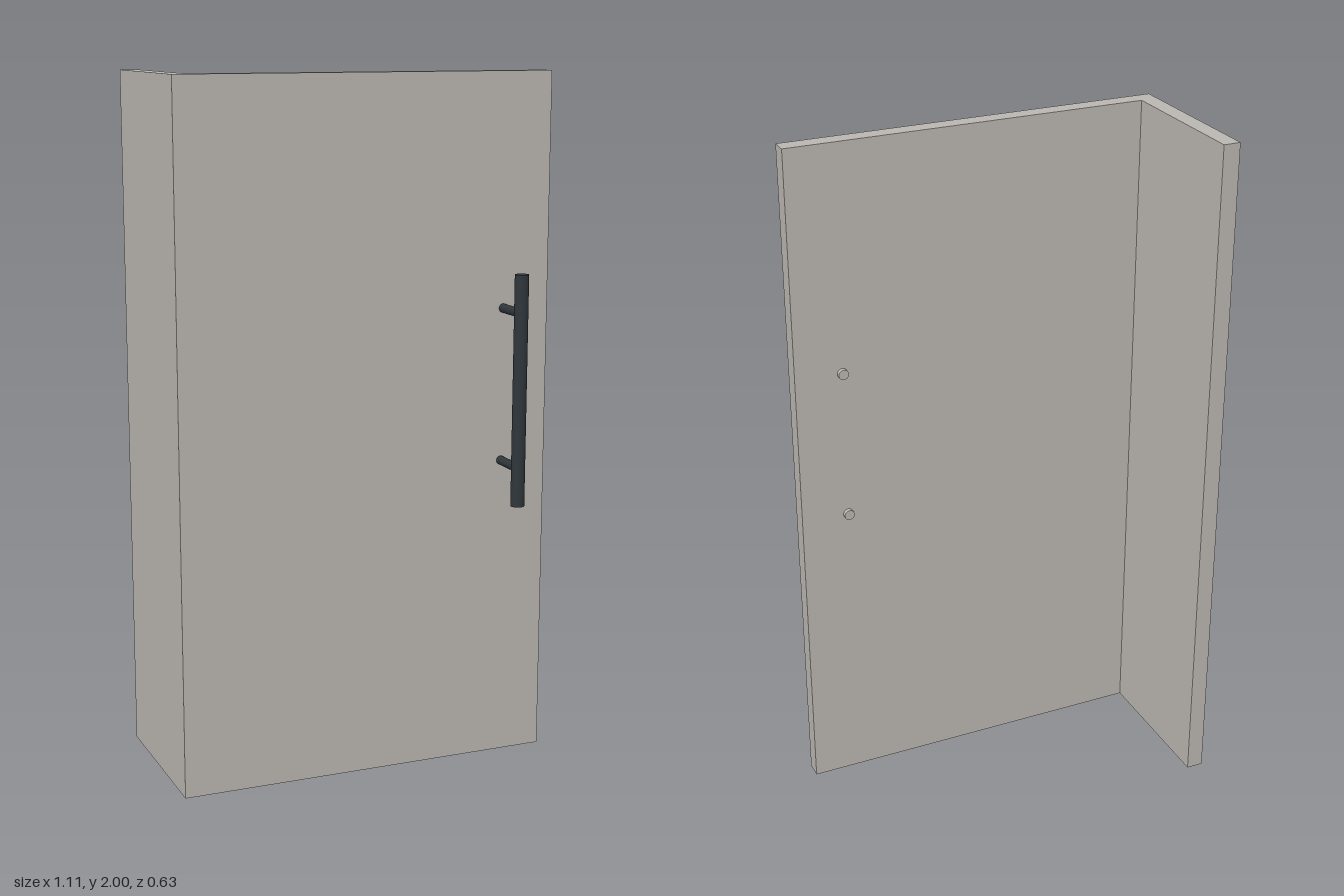
import * as THREE from 'three';

export function createModel() {
  const group = new THREE.Group();
  const panelGrey = new THREE.MeshStandardMaterial({ color: 0xbab6b1 });
  panelGrey.name = 'warm grey panel';
  const darkMetal = new THREE.MeshStandardMaterial({ color: 0x2f363b });
  darkMetal.name = 'dark metal';

  const add = (name, geometry, material, x, y, z) => {
    const mesh = new THREE.Mesh(geometry, material);
    mesh.name = name;
    mesh.position.set(x, y, z);
    group.add(mesh);
  };

  // L-shaped panel: wide front with a short return, extruded upward
  const left = -0.555, right = 0.555, front = 0.183, back = -0.315, t = 0.05;
  const outline = [
    [left, front], [right, front], [right, front - t],
    [left + t, front - t], [left + t, back], [left, back],
  ].map(([x, z]) => new THREE.Vector2(x, -z));
  const panel = new THREE.ExtrudeGeometry(new THREE.Shape(outline), { depth: 2, bevelEnabled: false });
  panel.rotateX(-Math.PI / 2);
  add('cornerPanel', panel, panelGrey, 0, 0, 0);

  // Cylinder lying along z
  const rod = (radius, length) =>
    new THREE.CylinderGeometry(radius, radius, length, 24).rotateX(Math.PI / 2);

  // Upright pull handle
  const hx = 0.415, hz = 0.294;
  add('handleBar', new THREE.CylinderGeometry(0.02, 0.02, 0.665, 32), darkMetal, hx, 1.1125, hz);

  // Standoff posts and the fixing caps behind the panel
  for (const y of [0.89, 1.335]) {
    add('handlePost', rod(0.013, hz - front), darkMetal, hx, y, (hz + front) / 2);
    add('fixingCap', rod(0.015, 0.014), panelGrey, hx, y, front - t - 0.006);
  }
  return group;
}
